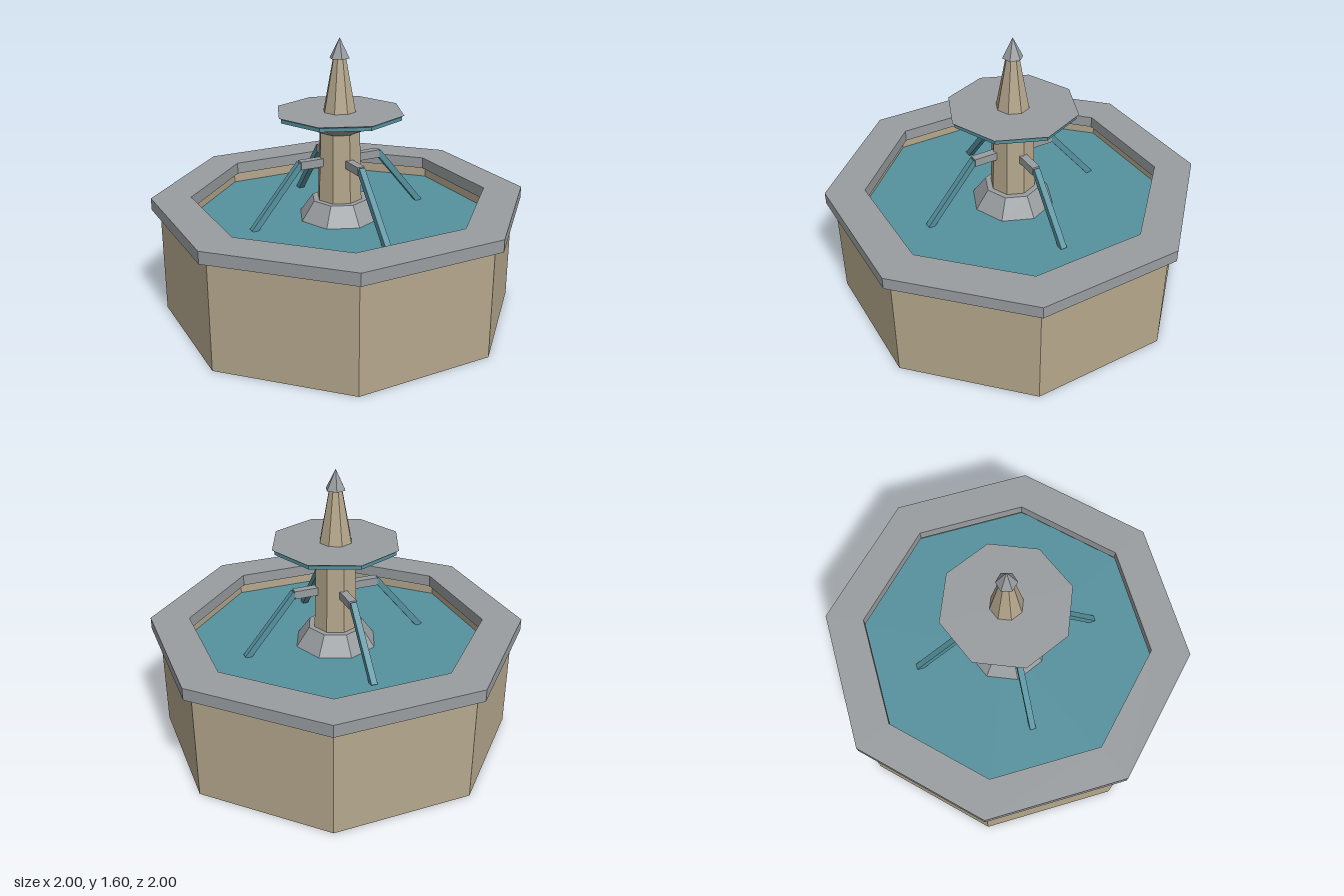
import * as THREE from 'three';

const flat = (name, color) => {
  const m = new THREE.MeshStandardMaterial({ color });
  m.name = name;
  m.flatShading = true;
  return m;
};

export function createModel() {
  const sandstone = flat('sandstone', 0xb5a78c);
  const greyStone = flat('grey stone', 0x999da0);
  const waterBlue = flat('water blue', 0x55919e);

  const fountain = new THREE.Group();
  fountain.name = 'fountain';

  const add = (name, geometry, material, parent = fountain) => {
    const mesh = new THREE.Mesh(geometry, material);
    mesh.name = name;
    parent.add(mesh);
    return mesh;
  };

  // Tapered prism between two heights, corners on the axes
  const prism = (name, material, y0, y1, r0, r1, sides = 8) => {
    const mesh = add(name, new THREE.CylinderGeometry(r1, r0, y1 - y0, sides), material);
    mesh.position.y = (y0 + y1) / 2;
    return mesh;
  };

  // Octagon with flat sides facing the axes, given its half width
  const toRadius = (halfWidth) => halfWidth / Math.cos(Math.PI / 8);
  const octagon = (halfWidth) => Array.from({ length: 8 }, (_, i) => {
    const a = (i + 0.5) * Math.PI / 4;
    const r = toRadius(halfWidth);
    return new THREE.Vector2(r * Math.cos(a), r * Math.sin(a));
  });
  const ring = (name, material, outer, inner, y0, y1) => {
    const shape = new THREE.Shape(octagon(outer));
    shape.holes.push(new THREE.Path(octagon(inner).reverse()));
    const geometry = new THREE.ExtrudeGeometry(shape, { depth: y1 - y0, bevelEnabled: false });
    geometry.rotateX(-Math.PI / 2);
    add(name, geometry, material).position.y = y0;
  };

  // Basin
  ring('basinWall', sandstone, 0.955, 0.82, 0, 0.625);
  ring('basinRim', greyStone, 1, 0.79, 0.625, 0.695);
  prism('poolWater', waterBlue, 0, 0.56, toRadius(0.82), toRadius(0.82)).rotation.y = Math.PI / 8;

  // Central pedestal and bowl
  prism('pedestalBase', greyStone, 0.55, 0.67, 0.25, 0.165);
  prism('column', sandstone, 0.66, 1.075, 0.132, 0.12);
  prism('bowl', greyStone, 1.07, 1.185, 0.12, 0.373);
  prism('bowlWater', waterBlue, 1.157, 1.177, 0.36, 0.36);

  // Spire and six-sided finial
  prism('spire', sandstone, 1.18, 1.49, 0.096, 0.037);
  const finial = add('finial', new THREE.ConeGeometry(0.058, 0.115, 6), greyStone);
  finial.position.y = 1.5425;
  finial.rotation.y = Math.PI / 2;

  // Four diagonal spouts, each with a falling jet
  const start = new THREE.Vector2(0.25, 0.91);
  const end = new THREE.Vector2(0.545, 0.555);
  const fall = end.clone().sub(start);
  for (let i = 0; i < 4; i++) {
    const arm = new THREE.Group();
    arm.name = 'spoutArm';
    arm.rotation.y = Math.PI / 4 + i * Math.PI / 2;
    fountain.add(arm);

    add('spout', new THREE.BoxGeometry(0.145, 0.047, 0.045), greyStone, arm).position.set(0.181, 0.901, 0);
    const jet = add('waterJet', new THREE.BoxGeometry(fall.length(), 0.035, 0.035), waterBlue, arm);
    jet.position.set((start.x + end.x) / 2, (start.y + end.y) / 2, 0);
    jet.rotation.z = fall.angle();
  }

  return fountain;
}
